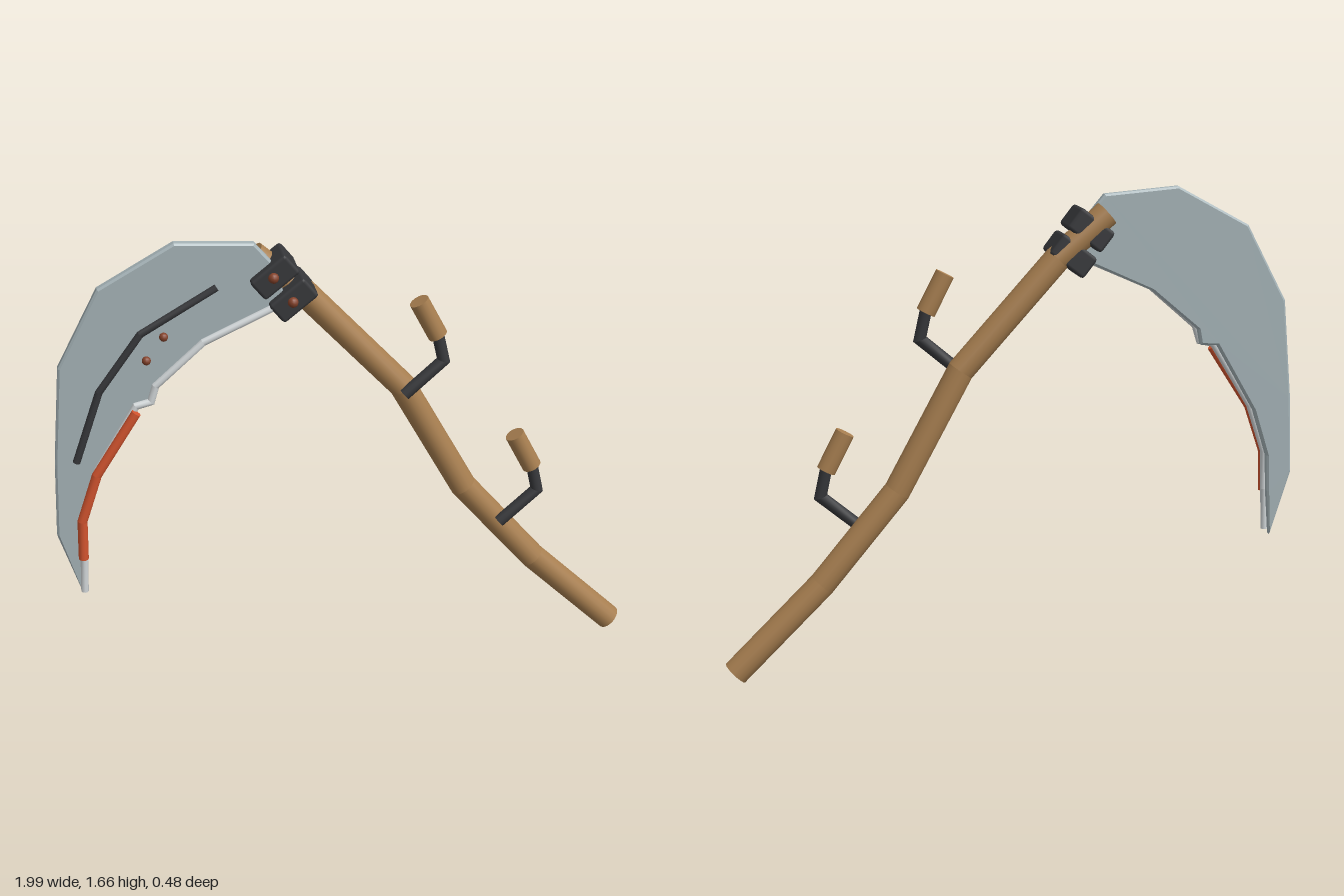
import * as THREE from 'three';
import { RoundedBoxGeometry } from 'three/addons/geometries/RoundedBoxGeometry.js';

const YAW = THREE.MathUtils.degToRad(10); // the whole tool is turned slightly about y
const localX = (x, z) => (x - z * Math.sin(YAW)) / Math.cos(YAW);
const P = (x, y, z) => new THREE.Vector3(localX(x, z), y, z);

// Capped round bar along a path, with mitred bends and creases between straight runs
function barGeometry(path, radius, sides) {
  const pos = [], index = [];
  const dirs = path.slice(1).map((p, i) => p.clone().sub(path[i]).normalize());
  const rings = path.map((p, i) => {
    const a = dirs[Math.max(i - 1, 0)], b = dirs[Math.min(i, dirs.length - 1)];
    const t = a.clone().add(b).normalize();
    const n = new THREE.Vector3(0, 0, 1).cross(t).normalize();
    const bi = t.clone().cross(n);
    const stretch = 1 / Math.max(t.dot(a), 0.5);
    return Array.from({ length: sides }, (_, k) => {
      const ang = (k / sides) * Math.PI * 2;
      return p.clone()
        .addScaledVector(n, Math.cos(ang) * radius * stretch)
        .addScaledVector(bi, Math.sin(ang) * radius);
    });
  });
  const add = (list) => {
    const start = pos.length / 3;
    list.forEach((v) => pos.push(v.x, v.y, v.z));
    return start;
  };
  for (let s = 0; s < dirs.length; s++) {
    const a = add(rings[s]), b = add(rings[s + 1]);
    for (let k = 0; k < sides; k++) {
      const m = (k + 1) % sides;
      index.push(a + k, a + m, b + m, a + k, b + m, b + k);
    }
  }
  const c0 = add([path[0], ...rings[0]]);
  const last = path.length - 1;
  const c1 = add([path[last], ...rings[last]]);
  for (let k = 0; k < sides; k++) {
    const m = (k + 1) % sides;
    index.push(c0, c0 + 1 + m, c0 + 1 + k, c1, c1 + 1 + k, c1 + 1 + m);
  }
  const g = new THREE.BufferGeometry();
  g.setAttribute('position', new THREE.Float32BufferAttribute(pos, 3));
  g.setIndex(index);
  g.computeVertexNormals();
  return g;
}

export function createModel() {
  const group = new THREE.Group();
  const material = (name, color) => {
    const m = new THREE.MeshStandardMaterial({ color });
    m.name = name;
    return m;
  };
  const wood = material('wood', 0xa87f50);
  const steel = material('steel', 0xa5b3b7);
  const brightSteel = material('bright steel', 0xd3d8da);
  const iron = material('dark iron', 0x37383b);
  const orange = material('orange', 0xd4552f);
  const copper = material('copper', 0x84422a);

  const add = (name, geometry, mat, parent = group) => {
    const mesh = new THREE.Mesh(geometry, mat);
    mesh.name = name;
    parent.add(mesh);
    return mesh;
  };
  const bar = (name, points, radius, sides, mat, parent) =>
    add(name, barGeometry(points.map((p) => P(...p)), radius, sides), mat, parent);

  // Bent wooden shaft
  bar('shaft', [
    [-0.32, 1.58, -0.025], [-0.15, 1.43, -0.025], [0.18, 1.06, -0.025],
    [0.4, 0.65, -0.025], [0.66, 0.335, -0.025], [0.96, 0.037, -0.025],
  ], 0.046, 16, wood);

  // Two identical hand grips on bent iron arms
  [['upperHandle', 0, 0], ['lowerHandle', 0.344, -0.532]].forEach(([name, dx, dy]) => {
    const handle = new THREE.Group();
    handle.name = name;
    group.add(handle);
    bar('arm', [
      [0.185 + dx, 1.05 + dy, 0.025], [0.317 + dx, 1.165 + dy, 0.02], [0.293 + dx, 1.275 + dy, 0.015],
    ], 0.021, 10, iron, handle);
    bar('grip', [[0.23 + dx, 1.387 + dy, 0.015], [0.296 + dx, 1.257 + dy, 0.015]], 0.034, 14, wood, handle);
  });

  // Curved blade plate with a small bevel
  const outline = [
    [-0.928, 0.398], [-1.0, 0.63], [-0.99, 0.9], [-0.96, 1.25], [-0.82, 1.52], [-0.57, 1.66],
    [-0.313, 1.64], [-0.24, 1.55], [-0.215, 1.43], [-0.243, 1.415], [-0.484, 1.302], [-0.65, 1.158],
    [-0.66, 1.104], [-0.72, 1.1], [-0.858, 0.858], [-0.91, 0.69], [-0.915, 0.56],
  ].map(([x, y]) => new THREE.Vector2(localX(x, 0.02), y));
  const bladeGeometry = new THREE.ExtrudeGeometry(new THREE.Shape(outline), {
    depth: 0.02, bevelEnabled: true, bevelThickness: 0.006, bevelSize: 0.007, bevelOffset: -0.007, bevelSegments: 1,
  });
  bladeGeometry.translate(0, 0, 0.01);
  add('blade', bladeGeometry, steel);

  // Bright strip along the cutting edge, with its notch
  const strip = [
    [-0.22, 1.432], [-0.484, 1.312], [-0.645, 1.168], [-0.662, 1.112], [-0.712, 1.1],
    [-0.85, 0.872], [-0.907, 0.7], [-0.911, 0.56], [-0.917, 0.41],
  ].map(([x, y]) => [x, y, 0.046]);
  bar('cuttingStrip', strip, 0.013, 8, brightSteel);

  // Orange guard over the lower edge
  bar('edgeGuard', [
    [-0.71, 1.085, 0.066], [-0.85, 0.865, 0.066], [-0.907, 0.695, 0.066], [-0.911, 0.55, 0.066],
  ], 0.017, 10, orange);

  // Dark stiffening rib on the blade face
  bar('rib', [
    [-0.917, 0.906, 0.04], [-0.83, 1.158, 0.04], [-0.687, 1.355, 0.04], [-0.436, 1.5, 0.04],
  ], 0.013, 8, iron);

  // Two clamps joining blade and shaft
  [['upperClamp', -0.255, 1.527], ['lowerClamp', -0.195, 1.441]].forEach(([name, x, y]) => {
    const clamp = add(name, new RoundedBoxGeometry(0.15, 0.085, 0.13, 1, 0.012), iron);
    clamp.position.copy(P(x, y, 0.001));
    clamp.rotation.z = THREE.MathUtils.degToRad(38);
  });

  // Domed rivets on the blade and on each clamp
  [
    [-0.612, 1.34, 0.042, 0.015], [-0.671, 1.26, 0.042, 0.015],
    [-0.25, 1.53, 0.068, 0.018], [-0.188, 1.44, 0.068, 0.018],
  ].forEach(([x, y, z, r]) => {
    add('rivet', new THREE.SphereGeometry(r, 12, 8), copper).position.copy(P(x, y, z));
  });

  group.rotation.y = YAW;
  const root = new THREE.Group();
  root.name = 'scythe';
  group.name = 'scytheParts';
  root.add(group);
  return root;
}
